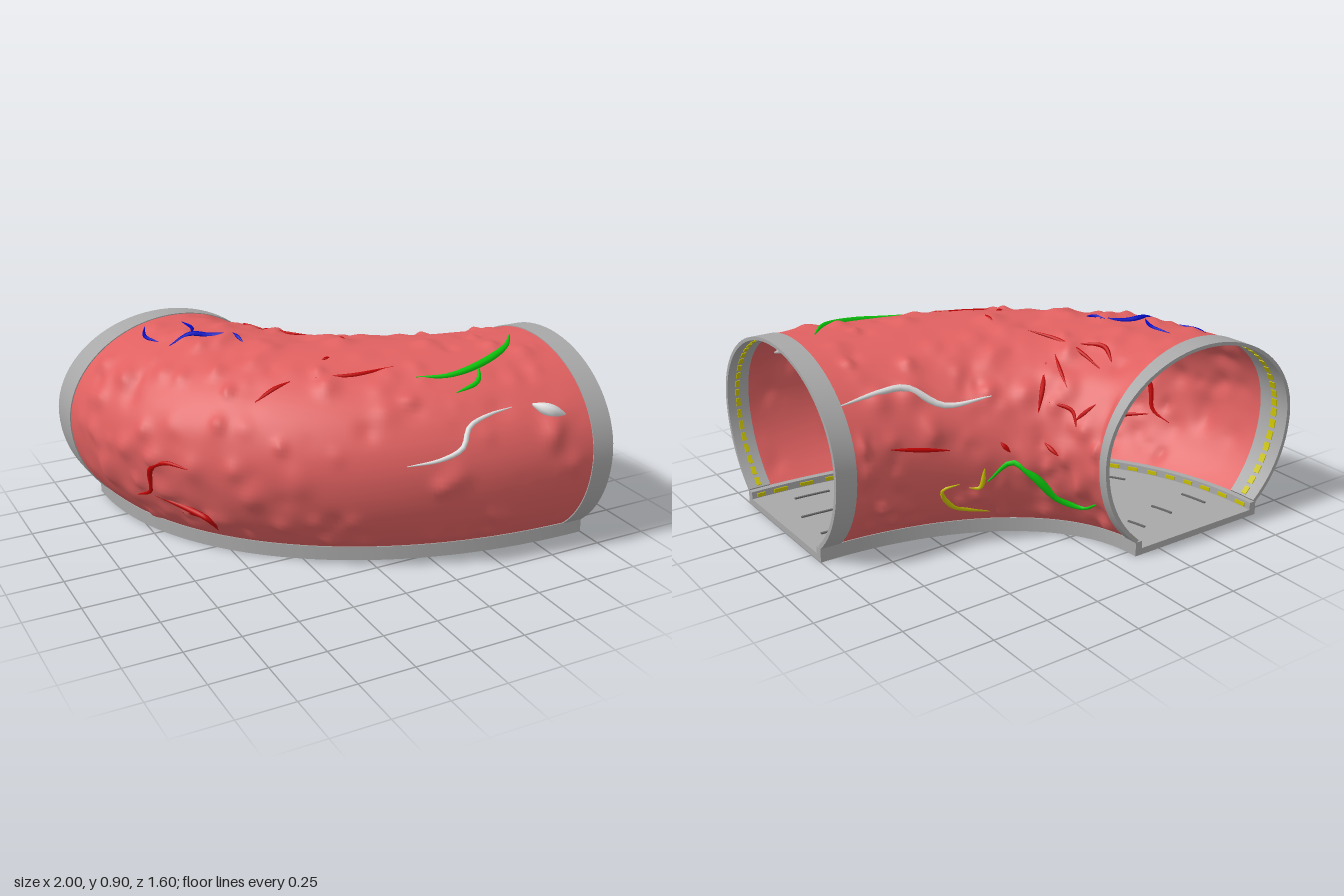
import * as THREE from 'three';
import { mergeGeometries, toCreasedNormals } from 'three/addons/utils/BufferGeometryUtils.js';

const mat = (name, color, side = THREE.FrontSide) => {
  const m = new THREE.MeshStandardMaterial({ color, side });
  m.name = name;
  return m;
};

// Piecewise linear lookup, used to keep the end collars even in width
const S = [0, 0.05, 0.95, 1], H = Math.PI / 2;
const ANGLE_IN = [0, 0.1, H - 0.074, H], ANGLE_OUT = [0, 0.041, H - 0.084, H];
function lookup(table, s) {
  const i = s < S[1] ? 0 : s < S[2] ? 1 : 2;
  return table[i] + (table[i + 1] - table[i]) * (s - S[i]) / (S[i + 1] - S[i]);
}

// Corner path: s runs from the +x mouth to the -z mouth, u from inner (-1) to outer (+1) side
function place(s, u, y) {
  const a = lookup(ANGLE_IN, s), b = lookup(ANGLE_OUT, s), w = (u + 1) / 2;
  const pw = (v) => Math.pow(Math.max(v, 0), 0.93);
  const xi = 1 - 0.94 * Math.sin(a), zi = -0.8 + 0.54 * Math.cos(a);
  const xo = 1 - 2 * pw(Math.sin(b)), zo = -0.8 + 1.6 * pw(Math.cos(b));
  return new THREE.Vector3(xi + (xo - xi) * w, y, zi + (zo - zi) * w);
}

// Tunnel section: round top, flatter sides running down to the floor
const PHI0 = -0.85, PHI1 = Math.PI + 0.85;
function section(phi, k = 1) {
  const sn = Math.sin(phi);
  return [-Math.cos(phi) * k, 0.45 + sn * (sn > 0 ? 0.43 : 0.519) * k];
}
const arc = (k, p0, p1, n) => Array.from({ length: n + 1 }, (_, i) => section(p0 + (p1 - p0) * i / n, k));

// Solid swept along the corner between an outer edge line A and an inner edge line B
function sweep(A, B, s0, s1, n) {
  const loop = [...A, ...[...B].reverse()], m = loop.length, pos = [], idx = [];
  for (let i = 0; i <= n; i++)
    for (const [u, y] of loop) pos.push(...place(s0 + (s1 - s0) * i / n, u, y).toArray());
  for (let i = 0; i < n; i++)
    for (let k = 0; k < m; k++) {
      const a = i * m + k, b = i * m + (k + 1) % m;
      idx.push(a, a + m, b, b, a + m, b + m);
    }
  for (let k = 0; k < A.length - 1; k++) {
    const a = k, b = k + 1, c = m - 1 - k, d = m - 2 - k, e = n * m;
    idx.push(a, b, c, b, d, c, e + a, e + c, e + b, e + b, e + c, e + d);
  }
  const g = new THREE.BufferGeometry();
  g.setAttribute('position', new THREE.Float32BufferAttribute(pos, 3));
  g.setIndex(idx);
  return toCreasedNormals(g, 0.6);
}
const bar = (u0, u1, y0, y1, s0, s1, n) => sweep([[u0, y1], [u1, y1]], [[u0, y0], [u1, y0]], s0, s1, n);

// Lumpy wall: seeded soft bumps and dents pushed along the section
function buildWall() {
  let seed = 7;
  const rnd = () => (seed = (seed * 16807) % 2147483647) / 2147483647;
  const base = (s, phi) => place(s, ...section(phi, 0.99));
  const bumps = Array.from({ length: 330 }, () => ({
    c: base(0.06 + 0.88 * rnd(), PHI0 + (PHI1 - PHI0) * rnd()),
    r: 0.025 + 0.03 * rnd(),
    h: -0.012 + 0.036 * rnd(),
  }));
  const NS = 150, NP = 100, pos = [], idx = [], pts = [];
  for (let i = 0; i <= NS; i++)
    for (let j = 0; j <= NP; j++) {
      const s = 0.048 + 0.904 * i / NS, phi = PHI0 + (PHI1 - PHI0) * j / NP, p = base(s, phi);
      let d = 0;
      for (const b of bumps) {
        const q = p.distanceToSquared(b.c) / (b.r * b.r);
        if (q < 9) d += b.h * Math.exp(-q);
      }
      d *= Math.min(1, Math.min(i, NS - i) / 5, Math.min(j, NP - j) / 4);
      const [u, y] = section(phi, 0.99);
      const v = place(s, u - Math.cos(phi) * d / 0.53, y + Math.sin(phi) * d);
      pos.push(v.x, v.y, v.z);
      pts.push({ v, u });
      if (i < NS && j < NP) {
        const a = i * (NP + 1) + j, b = a + NP + 1;
        idx.push(a, b, a + 1, a + 1, b, b + 1);
      }
    }
  const geo = new THREE.BufferGeometry();
  geo.setAttribute('position', new THREE.Float32BufferAttribute(pos, 3));
  geo.setIndex(idx);
  geo.computeVertexNormals();
  return { geo, pts };
}

// Which wall points a vein may lie on, and the two axes its points are given in
const FACES = {
  top: { ax: ['x', 'z'], ok: (p) => p.v.y > 0.45 },
  front: { ax: ['x', 'y'], ok: (p) => p.u > 0 },
  outer: { ax: ['z', 'y'], ok: (p) => p.u > 0 },
  inner: { ax: ['z', 'y'], ok: (p) => p.u < 0 },
};

// Tapered tube lying half sunk in the wall
function vein(pts, face, r, path) {
  const { ax, ok } = FACES[face], pool = pts.filter(ok);
  const line = path.map(([a, b]) => {
    let best = null, bd = Infinity;
    for (const p of pool) {
      const d = (p.v[ax[0]] - a) ** 2 + (p.v[ax[1]] - b) ** 2;
      if (d < bd) { bd = d; best = p.v; }
    }
    return best.clone();
  }).filter((p, i, all) => i === 0 || p.distanceTo(all[i - 1]) > 1e-4);
  const curve = new THREE.CatmullRomCurve3(line), n = 20;
  const g = new THREE.TubeGeometry(curve, n, r, 8), P = g.attributes.position, v = new THREE.Vector3();
  for (let i = 0; i <= n; i++) {
    const c = curve.getPointAt(i / n), k = 0.15 + 0.85 * Math.sin(Math.PI * i / n);
    for (let j = 0; j <= 8; j++) {
      v.fromBufferAttribute(P, i * 9 + j).sub(c).multiplyScalar(k).add(c);
      P.setXYZ(i * 9 + j, v.x, v.y, v.z);
    }
  }
  g.computeVertexNormals();
  return g;
}

const VEINS = {
  blue: [
    ['top', 0.014, [[-0.58, -0.38], [-0.48, -0.37], [-0.4, -0.35], [-0.31, -0.28]]],
    ['top', 0.009, [[-0.33, -0.3], [-0.31, -0.25], [-0.31, -0.19]]],
    ['top', 0.009, [[-0.45, -0.59], [-0.44, -0.47], [-0.48, -0.37]]],
    ['top', 0.009, [[-0.61, -0.64], [-0.64, -0.54], [-0.62, -0.44]]]],
  red: [
    ['top', 0.01, [[-0.08, -0.57], [-0.09, -0.43], [-0.05, -0.3], [0, -0.18]]],
    ['top', 0.008, [[0.06, -0.53], [0.03, -0.44], [0, -0.37]]],
    ['top', 0.01, [[-0.42, 0.18], [-0.33, 0.175], [-0.26, 0.2]]],
    ['top', 0.01, [[-0.16, 0.23], [0, 0.29], [0.17, 0.32]]],
    ['top', 0.008, [[0.08, -0.03], [0.085, 0.02]]],
    ['top', 0.008, [[-0.09, 0.15], [-0.04, 0.13]]],
    ['front', 0.013, [[-0.79, 0.26], [-0.7, 0.25], [-0.63, 0.21], [-0.56, 0.12]]],
    ['outer', 0.013, [[0.12, 0.46], [0, 0.455], [-0.06, 0.4], [-0.11, 0.3], [-0.2, 0.25]]],
    ['outer', 0.011, [[0.07, 0.13], [0.06, 0.2], [0.02, 0.22]]],
    ['inner', 0.011, [[-0.38, 0.78], [-0.45, 0.69], [-0.48, 0.62]]],
    ['inner', 0.011, [[-0.4, 0.84], [-0.49, 0.84], [-0.58, 0.81]]],
    ['inner', 0.009, [[-0.5, 0.66], [-0.58, 0.63], [-0.63, 0.59]]],
    ['inner', 0.009, [[-0.61, 0.6], [-0.65, 0.67]]],
    ['inner', 0.01, [[-0.27, 0.52], [-0.33, 0.47]]],
    ['inner', 0.01, [[-0.42, 0.5], [-0.45, 0.46]]],
    ['inner', 0.01, [[-0.53, 0.5], [-0.6, 0.46]]]],
  green: [
    ['top', 0.018, [[0.22, 0.43], [0.35, 0.46], [0.51, 0.455], [0.7, 0.39], [0.8, 0.27]]],
    ['top', 0.011, [[0.52, 0.455], [0.46, 0.52], [0.35, 0.54]]],
    ['inner', 0.018, [[-0.38, 0.32], [-0.45, 0.41], [-0.51, 0.37], [-0.56, 0.24], [-0.62, 0.2], [-0.7, 0.25]]]],
  yellow: [
    ['inner', 0.012, [[-0.29, 0.12], [-0.28, 0.2], [-0.3, 0.28], [-0.33, 0.31]]],
    ['inner', 0.011, [[-0.34, 0.28], [-0.36, 0.3], [-0.39, 0.38]]]],
  white: [
    ['top', 0.016, [[0.31, -0.35], [0.49, -0.27], [0.62, -0.18], [0.73, -0.155], [0.91, -0.15]]],
    ['front', 0.012, [[0.06, 0.53], [0.2, 0.535], [0.3, 0.57], [0.35, 0.66], [0.44, 0.69], [0.56, 0.71]]],
    ['front', 0.03, [[0.65, 0.71], [0.72, 0.68], [0.78, 0.66]]]],
};

export function createModel() {
  const model = new THREE.Group();
  const M = {
    flesh: mat('flesh', 0xe06060, THREE.DoubleSide), metal: mat('metal', 0xa8a8a8),
    marker: mat('floor marker', 0x686868), blue: mat('blue vein', 0x0008c0),
    red: mat('red vein', 0xc00000), green: mat('green vein', 0x0cc80c),
    yellow: mat('yellow', 0xc8c000), white: mat('white vein', 0xdcdcdc),
  };
  const add = (name, geo, m) => {
    const mesh = new THREE.Mesh(geo, m);
    mesh.name = name;
    model.add(mesh);
  };

  const wall = buildWall();
  add('wall', wall.geo, M.flesh);

  // Veins
  for (const [color, list] of Object.entries(VEINS))
    add(color + 'Veins', mergeGeometries(list.map(([f, r, p]) => vein(wall.pts, f, r, p))), M[color]);

  // Collars at both mouths, each with a dashed light strip inside
  for (const [name, s0, s1, l0, l1] of [['left', 0, 0.05, 0.018, 0.028], ['back', 0.95, 1, 0.972, 0.982]]) {
    add(name + 'Collar', sweep(arc(1, PHI0, PHI1, 64), arc(0.965, PHI0, PHI1, 64), s0, s1, 2), M.metal);
    const step = (PHI1 - PHI0) / 44;
    const lights = Array.from({ length: 44 }, (_, i) => {
      const p = PHI0 + step * (i + 0.15);
      return sweep(arc(0.966, p, p + step * 0.7, 2), arc(0.957, p, p + step * 0.7, 2), l0, l1, 1);
    });
    add(name + 'CollarLights', mergeGeometries(lights), M.yellow);
  }

  // Floor slab with raised kerbs and dashed kerb lights
  add('floor', bar(-0.65, 0.65, 0, 0.03, 0, 1, 60), M.metal);
  for (const side of [-1, 1]) {
    const [a, b] = [0.6 * side, 0.665 * side].sort((p, q) => p - q);
    add('kerb', bar(a, b, 0, 0.065, 0, 1, 60), M.metal);
    const [c, d] = [0.59 * side, 0.602 * side].sort((p, q) => p - q);
    const dashes = Array.from({ length: 24 }, (_, i) => bar(c, d, 0.036, 0.053, (i + 0.25) / 24, (i + 0.75) / 24, 2));
    add('kerbLights', mergeGeometries(dashes), M.yellow);
  }

  // Lane markers on the floor
  const marks = [];
  for (let i = 0; i < 5; i++)
    for (const u of [-0.32, 0.04, 0.4]) {
      const s = 0.08 + 0.2 * i + (u > 0.3 ? 0.02 : 0);
      marks.push(bar(u - 0.01, u + 0.01, 0.028, 0.036, s - 0.03, s + 0.03, 3));
    }
  add('floorMarkers', mergeGeometries(marks), M.marker);
  return model;
}
